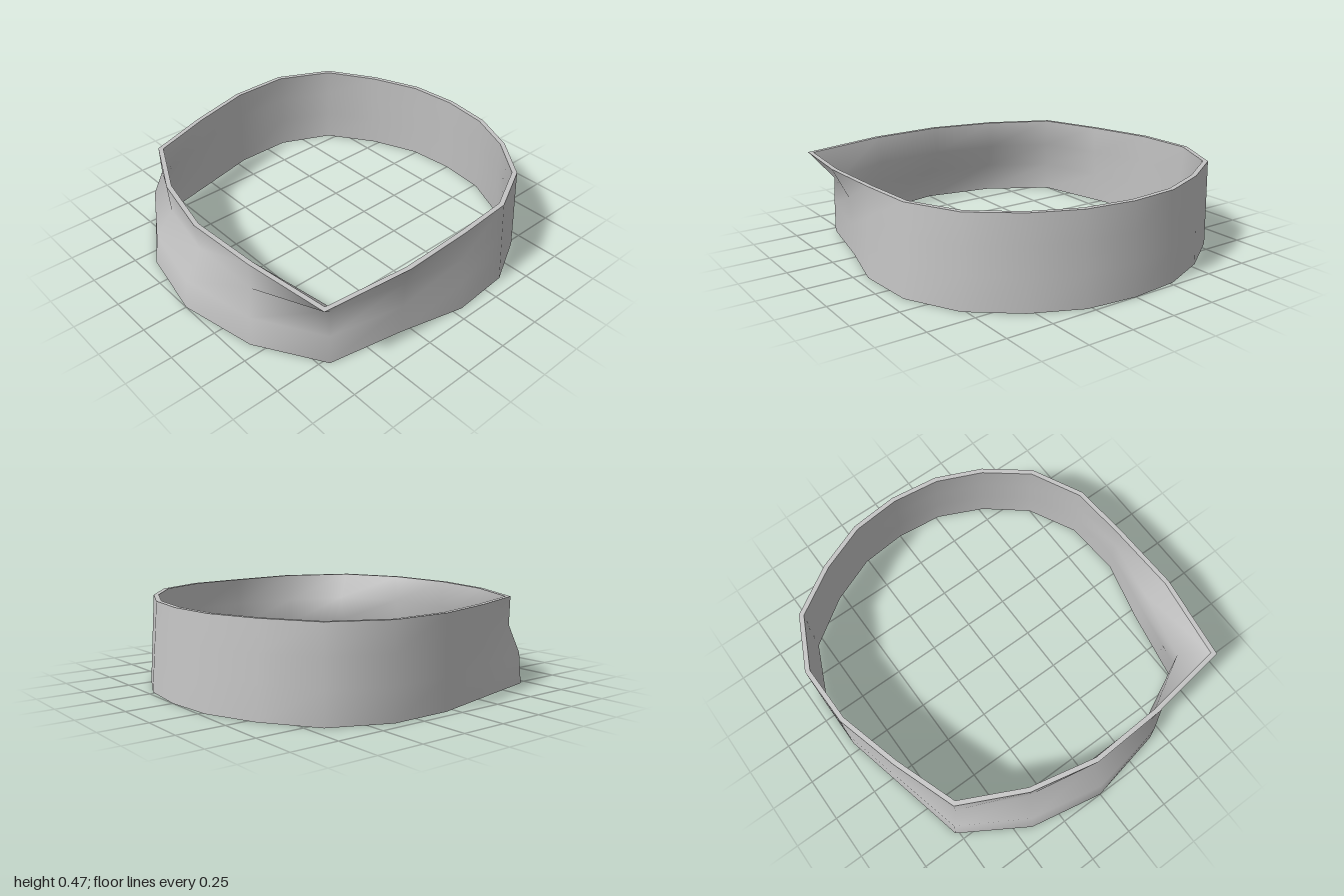
import * as THREE from 'three';

// Columns around the band, counterclockwise from the back:
// bottom x,z, top x,z, then how far the two middle rows lean from bottom to top
const L = [0.35, 0.68]; // straight wall
const columns = [
  [0, -1.0, 0, -0.97, L], [-0.27, -0.975, -0.27, -0.945, L],
  [-0.54, -0.865, -0.535, -0.84, L], [-0.81, -0.68, -0.80, -0.675, L],
  [-0.945, -0.38, -0.945, -0.38, L], [-0.945, -0.05, -0.94, -0.05, L],
  [-0.865, 0.29, -0.845, 0.30, [0.3, 1]], [-0.77, 0.70, -0.72, 0.65, [0.2, 1.05]],
  [-0.41, 0.92, -0.37, 0.82, [0.2, 1.1]], [0, 1.0, 0, 0.9, [0.2, 1.2]],
  [0.43, 0.915, 0.41, 0.88, [0.2, 1.25]], [0.78, 0.705, 0.87, 0.815, [-0.03, -0.1]],
  [0.855, 0.3, 0.93, 0.345, [0, 0.1]], [0.94, -0.05, 0.915, -0.05, L],
  [0.915, -0.38, 0.89, -0.365, L], [0.77, -0.66, 0.75, -0.645, L],
  [0.535, -0.85, 0.52, -0.825, L], [0.275, -0.97, 0.27, -0.935, L],
];
const heights = [0, 0.17, 0.32, 0.475];
const thickness = 0.026;
const N = columns.length;

// Outer ring of points for one row
function outerRing(r) {
  return columns.map(([bx, bz, tx, tz, mid], i) => {
    const f = [0, mid[0], mid[1], 1][r];
    const y = r === 3 && i === 11 ? 0.46 : heights[r];
    return new THREE.Vector3(bx + (tx - bx) * f, y, bz + (tz - bz) * f);
  });
}

// Ring moved inward by the wall thickness, mitred at each corner
function insetRing(ring) {
  const inward = (a, b) => new THREE.Vector3(b.z - a.z, 0, a.x - b.x).normalize();
  return ring.map((p, i) => {
    const n1 = inward(ring[(i + N - 1) % N], p);
    const n2 = inward(p, ring[(i + 1) % N]);
    const m = n1.clone().add(n2).normalize();
    return p.clone().addScaledVector(m, thickness / Math.max(0.6, m.dot(n1)));
  });
}

// Closed strip through a list of rings, smooth within itself
function loft(rings) {
  const index = [];
  for (let r = 0; r < rings.length - 1; r++) {
    for (let i = 0; i < N; i++) {
      const a = r * N + i, b = r * N + (i + 1) % N;
      index.push(a, b, b + N, a, b + N, a + N);
    }
  }
  const g = new THREE.BufferGeometry().setFromPoints(rings.flat());
  g.setIndex(index);
  g.computeVertexNormals();
  return g;
}

export function createModel() {
  const group = new THREE.Group();
  group.name = 'band';
  const metal = new THREE.MeshStandardMaterial({ color: 0xc4c4c4 });
  metal.name = 'light grey';

  const outer = heights.map((_, r) => outerRing(r));
  const inner = outer.map(insetRing);
  const parts = {
    outerWall: outer,
    innerWall: [...inner].reverse(),
    topRim: [outer[3], inner[3]],
    bottomRim: [inner[0], outer[0]],
  };
  for (const [name, rings] of Object.entries(parts)) {
    const mesh = new THREE.Mesh(loft(rings), metal);
    mesh.name = name;
    group.add(mesh);
  }
  return group;
}
